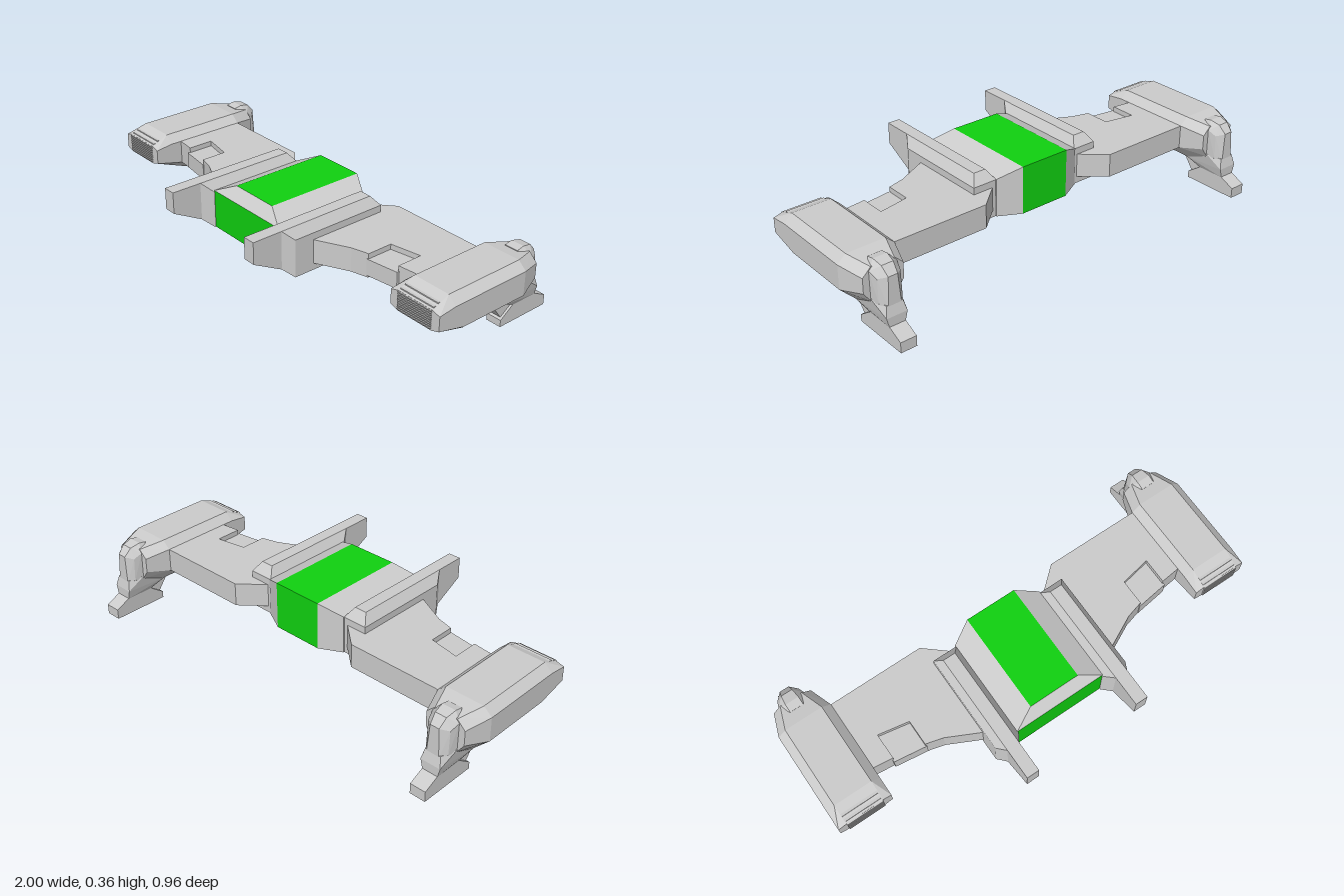
import * as THREE from 'three';
import { ConvexGeometry } from 'three/addons/geometries/ConvexGeometry.js';

const grey = new THREE.MeshStandardMaterial({ color: 0xcccccc, flatShading: true });
const green = new THREE.MeshStandardMaterial({ color: 0x10d010, flatShading: true });

function add(parent, name, geometry, material = grey) {
  const mesh = new THREE.Mesh(geometry, material);
  mesh.name = name;
  parent.add(mesh);
  return mesh;
}

// Hull of points given as [halfWidth, y, z], mirrored across x
function symmetricHull(points) {
  const list = [];
  for (const [x, y, z] of points) {
    list.push(new THREE.Vector3(x, y, z), new THREE.Vector3(-x, y, z));
  }
  return new ConvexGeometry(list);
}

// Side profile of [z, y] points, extruded to a width centred on x = 0
function sideProfile(points, width) {
  const shape = new THREE.Shape(points.map(p => new THREE.Vector2(...p)));
  const geometry = new THREE.ExtrudeGeometry(shape, { depth: width, bevelEnabled: false });
  return geometry.translate(0, 0, -width / 2).rotateY(-Math.PI / 2);
}

// Flat convex faces, each a loop of corners counter-clockwise from outside
function polygons(faces) {
  const positions = [];
  for (const f of faces) {
    for (let i = 1; i < f.length - 1; i++) positions.push(...f[0], ...f[i], ...f[i + 1]);
  }
  const geometry = new THREE.BufferGeometry();
  geometry.setAttribute('position', new THREE.Float32BufferAttribute(positions, 3));
  geometry.computeVertexNormals();
  return geometry;
}

// Central hull: green middle band, front and underside, grey shoulders
function createHull() {
  const hull = new THREE.Group();
  hull.name = 'centralHull';
  const a = 0.115, b = 0.21, bottom = 0.15, mid = 0.318, top = 0.362;
  const front = 0.295, topFront = 0.25, back = -0.2, sideBack = -0.15;
  add(hull, 'hullPanels', polygons([
    [[-a, top, topFront], [a, top, topFront], [a, top, back], [-a, top, back]],
    [[-b, bottom, front], [b, bottom, front], [b, mid, front], [-b, mid, front]],
    [[a, bottom, back], [-a, bottom, back], [-a, top, back], [a, top, back]],
    [[-b, bottom, front], [-b, bottom, sideBack], [-a, bottom, back],
      [a, bottom, back], [b, bottom, sideBack], [b, bottom, front]],
  ]), green);
  const shoulders = [[[-b, mid, front], [b, mid, front], [a, top, topFront], [-a, top, topFront]]];
  for (const s of [1, -1]) {
    const sideFaces = [
      [[a, top, topFront], [b, mid, front], [b, mid, sideBack], [a, top, back]],
      [[b, bottom, sideBack], [a, bottom, back], [a, top, back], [b, mid, sideBack]],
      [[b, bottom, front], [b, bottom, sideBack], [b, mid, sideBack], [b, mid, front]],
    ];
    for (const f of sideFaces) {
      const loop = f.map(([x, y, z]) => [s * x, y, z]);
      shoulders.push(s > 0 ? loop : loop.reverse());
    }
  }
  add(hull, 'hullShoulders', polygons(shoulders));
  return hull;
}

// Chamfered rail beside the hull, with a blade reaching forward
function createRail() {
  const rail = new THREE.Group();
  rail.name = 'sideRail';
  add(rail, 'railBody', symmetricHull([
    [0.056, 0.15, 0.30], [0.056, 0.315, 0.30], [0.056, 0.315, -0.145], [0.056, 0.15, -0.145],
    [0.028, 0.19, 0.345], [0.028, 0.357, 0.345], [0.028, 0.357, -0.11],
  ]));
  add(rail, 'railBlade', sideProfile(
    [[0.3, 0.357], [0.3, 0.19], [0.345, 0.19], [0.48, 0.262], [0.48, 0.357]], 0.056));
  return rail;
}

// Wing slab with a notch in its leading edge, filled by a thinner insert
function createWing(s) {
  const wing = new THREE.Group();
  wing.name = s > 0 ? 'leftWing' : 'rightWing';
  const slab = (outline, y0, y1) => {
    const shape = new THREE.Shape(outline.map(([x, z]) => new THREE.Vector2(s * x, -z)));
    return new THREE.ExtrudeGeometry(shape, { depth: y1 - y0, bevelEnabled: false })
      .rotateX(-Math.PI / 2).translate(0, y0, 0);
  };
  add(wing, 'wingSlab', slab([
    [0.22, -0.14], [0.33, -0.235], [0.8, -0.235], [0.8, 0.08], [0.67, 0.095], [0.67, -0.02],
    [0.535, 0.005], [0.535, 0.12], [0.46, 0.14], [0.32, 0.21], [0.22, 0.21],
  ], 0.18, 0.285));
  add(wing, 'notchInsert', slab(
    [[0.53, -0.02], [0.675, -0.04], [0.675, 0.105], [0.53, 0.125]], 0.19, 0.262));
  return wing;
}

// Faceted pod at the wing tip, with front grille, rear head, leg and foot
function createPod() {
  const pod = new THREE.Group();
  pod.name = 'wingtipPod';
  add(pod, 'podBody', symmetricHull([
    [0.085, 0.285, 0.215], [0.122, 0.275, 0.215], [0.122, 0.212, 0.215], [0.085, 0.2, 0.215],
    [0.085, 0.318, 0.135], [0.122, 0.285, 0.135], [0.122, 0.18, 0.085], [0.055, 0.112, 0.015],
    [0.085, 0.318, -0.235], [0.122, 0.285, -0.235], [0.122, 0.18, -0.235], [0.055, 0.112, -0.235],
    [0.05, 0.3, -0.34], [0.087, 0.265, -0.34], [0.087, 0.2, -0.34], [0.055, 0.155, -0.34],
  ]));
  // Grille slats down the front and up over the sloping brow
  for (let i = 0; i < 11; i++) {
    const y = 0.21 + i * 0.009;
    const z = y < 0.285 ? 0.214 : 0.214 - (y - 0.285) * 2.4;
    add(pod, 'grilleSlat', new THREE.BoxGeometry(0.166, 0.0045, 0.014).translate(0, y, z));
  }
  add(pod, 'rearHead', symmetricHull([
    [0.03, 0.312, -0.29], [0.03, 0.319, -0.325], [0.025, 0.309, -0.37], [0.02, 0.275, -0.402],
    [0.06, 0.285, -0.34], [0.06, 0.155, -0.33], [0.05, 0.265, -0.375], [0.05, 0.16, -0.38],
    [0.028, 0.15, -0.405],
  ]));
  add(pod, 'upperLeg', symmetricHull([
    [0.055, 0.112, -0.225], [0.055, 0.17, -0.24], [0.06, 0.17, -0.34], [0.035, 0.075, -0.29],
    [0.035, 0.16, -0.404], [0.045, 0.115, -0.415], [0.035, 0.075, -0.415],
  ]));
  add(pod, 'legBrace', sideProfile(
    [[-0.175, 0.115], [-0.235, 0.035], [-0.29, 0.07], [-0.26, 0.115]], 0.05));
  add(pod, 'foot', sideProfile([
    [-0.225, 0], [-0.225, 0.03], [-0.29, 0.076], [-0.415, 0.076], [-0.48, 0.045], [-0.48, 0],
  ], 0.07));
  return pod;
}

export function createModel() {
  const model = new THREE.Group();
  model.name = 'wingedCraft';
  model.add(createHull());
  for (const s of [1, -1]) {
    const rail = createRail();
    rail.position.x = s * 0.263;
    const pod = createPod();
    pod.position.x = s * 0.878;
    model.add(rail, createWing(s), pod);
  }
  return model;
}
